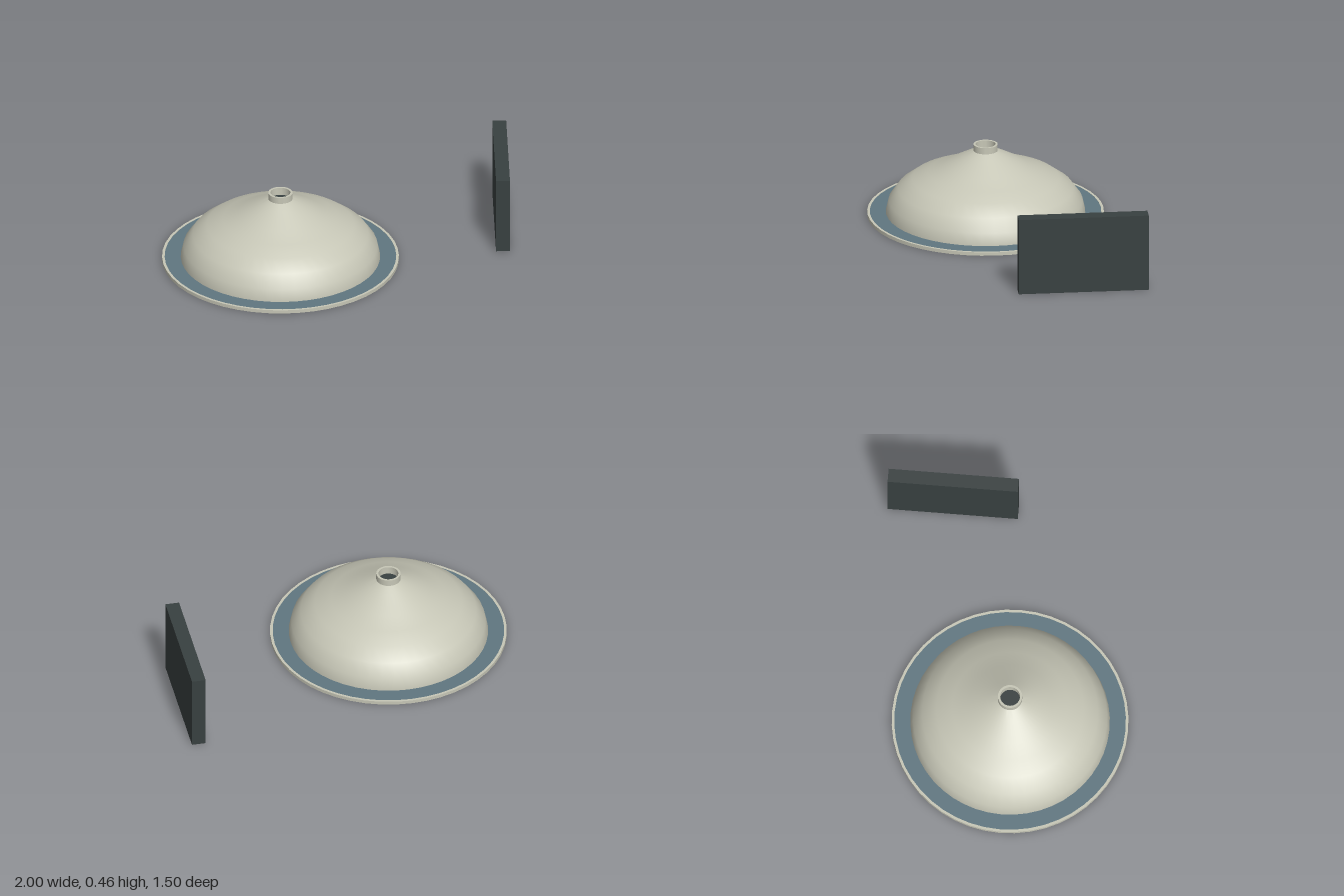
import * as THREE from 'three';
import { toCreasedNormals } from 'three/addons/utils/BufferGeometryUtils.js';

const SEGMENTS = 48;

export function createModel() {
  const cream = new THREE.MeshStandardMaterial({ name: 'cream', color: 0xc6c6b6 });
  const blue = new THREE.MeshStandardMaterial({ name: 'slateBlue', color: 0x607680 });
  const dark = new THREE.MeshStandardMaterial({ name: 'charcoal', color: 0x384040 });

  const model = new THREE.Group();
  model.name = 'domeAndPanel';

  // Round parts share one axis
  const dome = new THREE.Group();
  dome.name = 'domeAssembly';
  dome.position.set(-0.32, 0, 0.07);
  model.add(dome);

  // Profile of [radius, height] pairs, turned with sharp corners kept
  function turned(name, profile, material) {
    const points = profile.map(([r, y]) => new THREE.Vector2(r, y));
    const geometry = toCreasedNormals(new THREE.LatheGeometry(points, SEGMENTS), 0.7);
    const mesh = new THREE.Mesh(geometry, material);
    mesh.name = name;
    dome.add(mesh);
  }
  const ring = (inner, outer, low, high) =>
    [[inner, low], [outer, low], [outer, high], [inner, high], [inner, low]];

  // Shell with a closed underside
  turned('domeShell', [
    [0, 0], [0.573, 0], [0.573, 0.02], [0.557, 0.09], [0.504, 0.163], [0.423, 0.222],
    [0.332, 0.26], [0.241, 0.302], [0.124, 0.366], [0.068, 0.393],
  ], cream);

  // Flat brim with a thin outer rim
  turned('brim', ring(0.565, 0.666, 0.001, 0.019), blue);
  turned('brimRim', ring(0.665, 0.68, 0, 0.02), cream);

  // Open neck and the dark floor of its hole
  turned('neck', ring(0.057, 0.07, 0.375, 0.43), cream);
  const floor = new THREE.Mesh(new THREE.CircleGeometry(0.058, SEGMENTS), dark);
  floor.name = 'neckHoleFloor';
  floor.rotation.x = -Math.PI / 2;
  floor.position.y = 0.385;
  dome.add(floor);

  // Upright panel, turned very slightly
  const panel = new THREE.Mesh(new THREE.BoxGeometry(0.08, 0.455, 0.75), dark);
  panel.name = 'panel';
  panel.position.set(0.956, 0.2275, -0.375);
  panel.rotation.y = 0.009;
  model.add(panel);

  return model;
}
